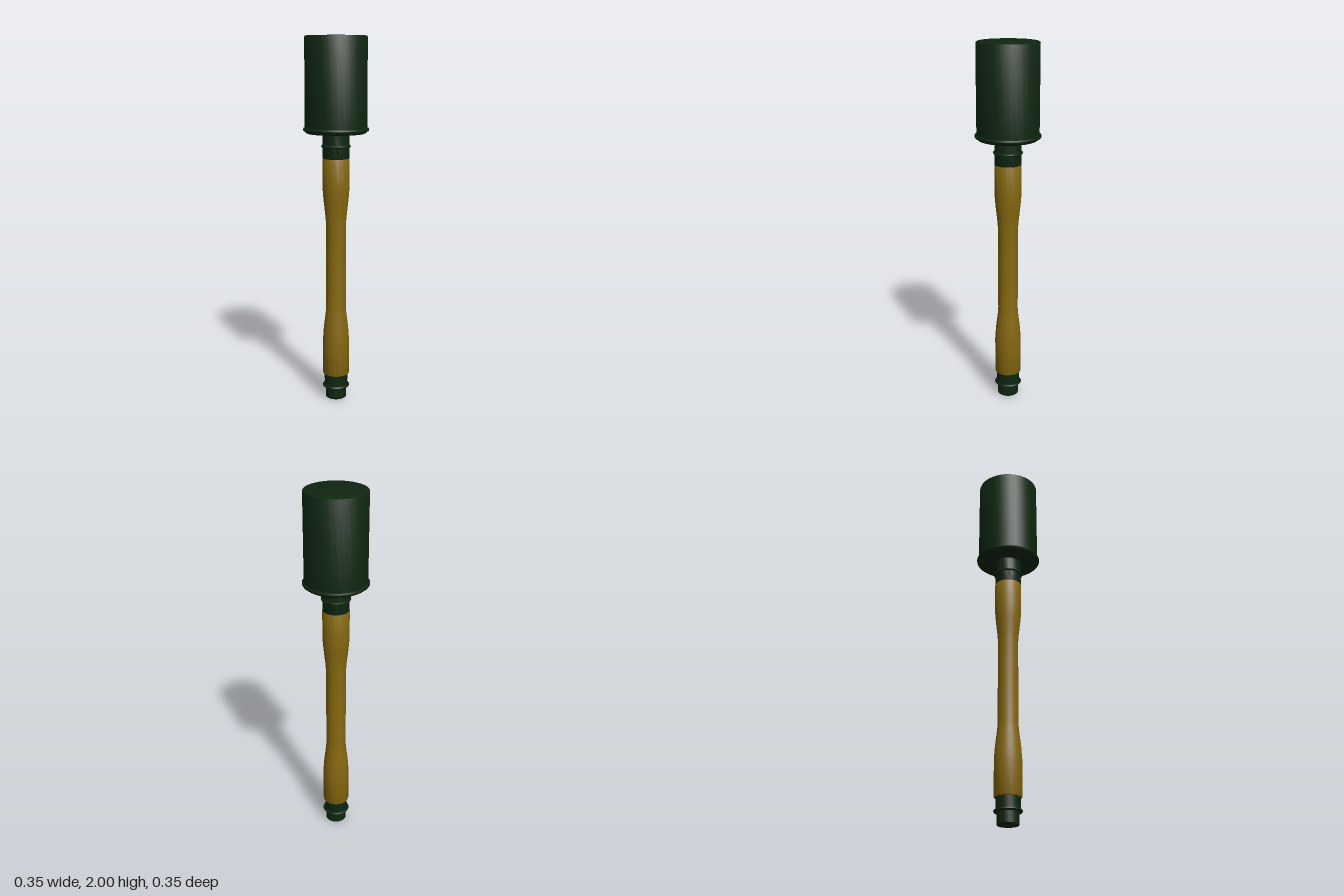
import * as THREE from 'three';
import { toCreasedNormals } from 'three/addons/utils/BufferGeometryUtils.js';

const green = new THREE.MeshStandardMaterial({ color: 0x0e2610 });
green.name = 'dark green paint';
const wood = new THREE.MeshStandardMaterial({ color: 0x86680f });
wood.name = 'varnished wood';

// Turned part from a profile of [radius, height] points, bottom to top
function turned(name, material, profile) {
  const points = profile.map(([r, y]) => new THREE.Vector2(r, y));
  const geometry = toCreasedNormals(new THREE.LatheGeometry(points, 32), 0.6);
  const mesh = new THREE.Mesh(geometry, material);
  mesh.name = name;
  return mesh;
}

export function createModel() {
  const model = new THREE.Group();
  model.name = 'stickModel';

  // Cylindrical head with a lipped bottom rim and a softened top edge
  model.add(turned('head', green, [
    [0, 1.495], [0.15, 1.495], [0.155, 1.49], [0.162, 1.494], [0.168, 1.503],
    [0.174, 1.503], [0.177, 1.508], [0.177, 1.514], [0.174, 1.519], [0.167, 1.521],
    [0.167, 1.993], [0.165, 1.998], [0.16, 2], [0, 2],
  ]));

  // Neck collar with a thin raised bead
  model.add(turned('neckCollar', green, [
    [0, 1.352], [0.07, 1.352], [0.072, 1.36], [0.072, 1.414], [0.078, 1.416],
    [0.08, 1.421], [0.078, 1.426], [0.072, 1.428], [0.072, 1.497], [0, 1.497],
  ]));

  // Wooden handle, waisted in the middle
  model.add(turned('handle', wood, [
    [0, 0.14], [0.071, 0.14], [0.073, 0.145], [0.073, 0.34], [0.068, 0.41], [0.058, 0.49],
    [0.055, 0.53], [0.055, 1.0], [0.058, 1.04], [0.068, 1.13], [0.073, 1.19],
    [0.073, 1.35], [0.071, 1.355], [0, 1.355],
  ]));

  // Ferrule with a bead, and the narrower end cap under it
  model.add(turned('ferrule', green, [
    [0.058, 0.076], [0.064, 0.076], [0.064, 0.143], [0, 0.143],
  ]));
  model.add(turned('ferruleBead', green, [
    [0.056, 0.064], [0.071, 0.064], [0.075, 0.07], [0.071, 0.077], [0.056, 0.077],
  ]));
  model.add(turned('endCap', green, [
    [0, 0], [0.055, 0], [0.058, 0.004], [0.058, 0.07], [0, 0.07],
  ]));

  return model;
}
